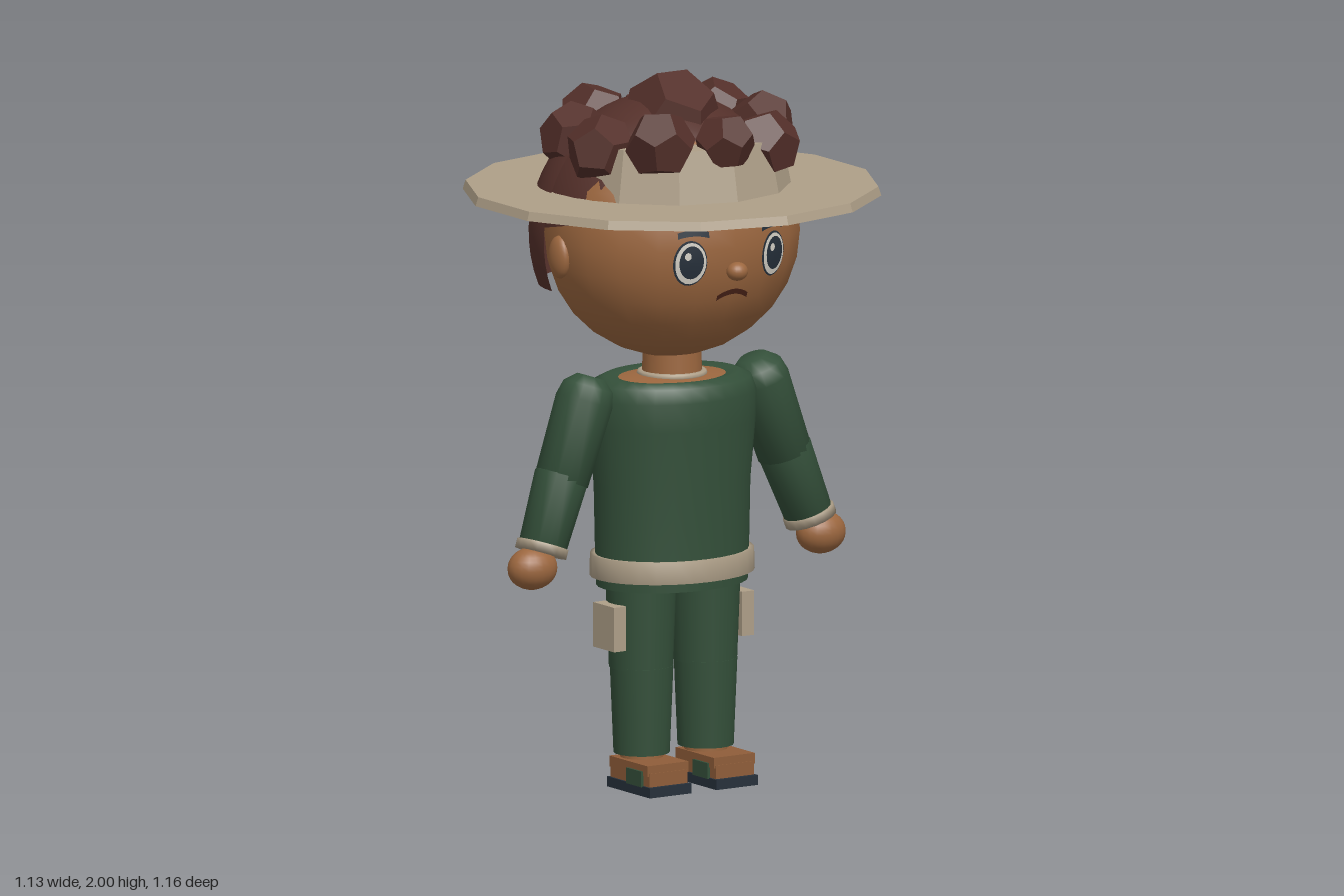
import * as THREE from 'three';

const mat = (name, color, side = THREE.FrontSide) => {
  const m = new THREE.MeshStandardMaterial({ color, side });
  m.name = name;
  return m;
};

export function createModel() {
  const model = new THREE.Group();
  const skin = mat('skin', 0x9c673f);
  const green = mat('green cloth', 0x34503a, THREE.DoubleSide);
  const beige = mat('beige', 0xae9f88, THREE.DoubleSide);
  const hair = mat('hair', 0x54302a, THREE.DoubleSide);
  const navy = mat('navy', 0x26303b);
  const tan = mat('shoe tan', 0x8f5d39);
  const white = mat('eye white', 0xd6d2c8);
  const lip = mat('lip', 0x4a2318);

  const add = (name, geo, material, x = 0, y = 0, z = 0, parent = model) => {
    const m = new THREE.Mesh(geo, material);
    m.name = name;
    m.position.set(x, y, z);
    parent.add(m);
    return m;
  };
  const ball = (name, material, p, r, parent = model) => {
    const m = add(name, new THREE.SphereGeometry(1, 20, 14), material, ...p, parent);
    m.scale.set(...r);
  };
  const faceted = (geo) => {
    const g = geo.toNonIndexed();
    g.computeVertexNormals();
    return g;
  };
  const lathe = (pts, seg) =>
    new THREE.LatheGeometry(pts.map(([r, y]) => new THREE.Vector2(r, y)), seg);
  // Tapered limb with a domed upper end, running from a to b
  const limb = (name, material, a, b, ra, rb, parent, dome = 0.02) => {
    const A = new THREE.Vector3(...a), B = new THREE.Vector3(...b);
    const L = A.distanceTo(B);
    const geo = lathe([[0, 0], [rb, 0], [ra, L - dome], [ra * 0.88, L - dome * 0.4], [ra * 0.5, L], [0, L]], 16);
    const m = add(name, geo, material, ...b, parent);
    m.quaternion.setFromUnitVectors(new THREE.Vector3(0, 1, 0), A.sub(B).normalize());
  };

  // Head
  const HY = 1.555, HR = [0.37, 0.35, 0.32];
  ball('head', skin, [0, HY, 0], HR);
  ball('nose', skin, [0, 1.49, 0.325], [0.031, 0.026, 0.028]);

  // Lay a flat geometry onto the face
  const onFace = (name, geo, material, x, y, lift) => {
    const p = geo.attributes.position;
    for (let i = 0; i < p.count; i++) {
      const px = p.getX(i) + x, py = p.getY(i) + y;
      const k = 1 - (px / HR[0]) ** 2 - ((py - HY) / HR[1]) ** 2;
      p.setXYZ(i, px, py, HR[2] * Math.sqrt(Math.max(k, 0)) + lift);
    }
    geo.computeVertexNormals();
    add(name, geo, material);
  };
  const oval = (rx, ry) => new THREE.RingGeometry(0.001, 1, 24, 3).scale(rx, ry, 1);
  const strip = (w, h, rule) => {
    const g = new THREE.PlaneGeometry(w, h, 10, 1);
    const p = g.attributes.position;
    for (let i = 0; i < p.count; i++) p.setY(i, p.getY(i) + rule(p.getX(i) / (w / 2)));
    return g;
  };
  for (const s of [1, -1]) {
    onFace('eyeRim', oval(0.046, 0.064), navy, s * 0.137, 1.522, 0.004);
    onFace('eyeWhite', oval(0.042, 0.059), white, s * 0.137, 1.522, 0.007);
    onFace('iris', oval(0.033, 0.047), navy, s * 0.137, 1.525, 0.01);
    onFace('eyeGlint', oval(0.009, 0.011), white, s * 0.137 - 0.012, 1.543, 0.013);
    onFace('eyebrow', strip(0.085, 0.017, (t) => 0.004 - 0.007 * t * t), navy, s * 0.13, 1.603, 0.009);
    ball('ear', skin, [s * 0.365, 1.515, -0.012], [0.025, 0.06, 0.042]);
  }
  onFace('mouth', strip(0.1, 0.015, (t) => 0.006 - 0.016 * t * t), lip, 0, 1.425, 0.008);

  // Hair: tilted cap, back shell and chunky curls
  const cap = add('hairCap', new THREE.SphereGeometry(1, 24, 12, 0, Math.PI * 2, 0, 1.45).scale(0.375, 0.385, 0.345),
    hair, 0, 1.55, -0.03);
  cap.rotation.x = -0.2;
  add('hairBack', new THREE.SphereGeometry(1, 24, 10, Math.PI, Math.PI, 0.9, 1.05).scale(0.382, 0.38, 0.305),
    hair, 0, 1.55, -0.065);
  add('topCurl', new THREE.DodecahedronGeometry(0.154), hair, 0, 1.856, 0).scale.x = 0.9;
  for (let i = 0; i < 9; i++) {
    const a = (i * Math.PI * 2) / 9;
    const c = add('curl', new THREE.DodecahedronGeometry(i === 0 ? 0.085 : 0.1), hair,
      Math.sin(a) * 0.27, 1.825 + 0.02 * Math.cos(i * 2.4), Math.cos(a) * 0.265);
    c.rotation.set(0.4 * Math.cos(a), a, -0.4 * Math.sin(a));
  }

  // Hat
  add('hatBrim', faceted(new THREE.CylinderGeometry(0.572, 0.58, 0.025, 14)), beige, 0, 1.673, 0);
  add('hatCrown', faceted(new THREE.CylinderGeometry(0.3, 0.33, 0.15, 12)), beige, 0, 1.755, 0);

  // Neck and collar
  add('neck', new THREE.CylinderGeometry(0.08, 0.085, 0.15, 18), skin, 0, 1.18, 0);
  add('collar', new THREE.TorusGeometry(0.088, 0.01, 8, 24).rotateX(Math.PI / 2), beige, 0, 1.155, 0);

  // Torso, oval in plan
  const torso = (name, pts, material, depth = 0.76) =>
    add(name, lathe(pts, 28).scale(1, 1, depth), material);
  torso('shirt', [[0.225, 0.568], [0.228, 0.66], [0.232, 0.85], [0.248, 1.02], [0.25, 1.1], [0.235, 1.14],
    [0.2, 1.155], [0.16, 1.148]], green);
  torso('neckline', [[0.165, 1.147], [0.08, 1.157], [0, 1.157]], skin);
  torso('hips', [[0, 0.572], [0.222, 0.572]], skin);
  torso('belt', [[0.226, 0.595], [0.243, 0.595], [0.241, 0.657], [0.226, 0.657]], beige, 0.79);

  for (const s of [1, -1]) {
    // Arm
    const arm = new THREE.Group();
    arm.name = s > 0 ? 'leftArm' : 'rightArm';
    model.add(arm);
    limb('upperSleeve', green, [s * 0.268, 1.17, 0.0], [s * 0.37, 0.89, 0.005], 0.082, 0.077, arm, 0.07);
    limb('lowerSleeve', green, [s * 0.362, 0.92, 0.003], [s * 0.443, 0.708, 0.018], 0.077, 0.068, arm);
    limb('cuff', beige, [s * 0.438, 0.724, 0.017], [s * 0.448, 0.696, 0.019], 0.074, 0.074, arm, 0.004);
    ball('hand', skin, [s * 0.478, 0.658, 0.023], [0.074, 0.06, 0.058], arm);

    // Leg
    const leg = new THREE.Group();
    leg.name = s > 0 ? 'leftLeg' : 'rightLeg';
    leg.position.x = s * 0.106;
    model.add(leg);
    const tube = (name, r1, r2, y1, y2, z, material) =>
      add(name, new THREE.CylinderGeometry(r1, r2, y1 - y2, 18), material, 0, (y1 + y2) / 2, z, leg);
    tube('thigh', 0.099, 0.089, 0.6, 0.34, 0.005, green);
    tube('shin', 0.088, 0.078, 0.345, 0.1, 0.008, green);
    tube('ankle', 0.06, 0.06, 0.13, 0.07, 0.008, skin);
    add('pocket', new THREE.BoxGeometry(0.04, 0.125, 0.105), beige, s * 0.106, 0.463, 0.008, leg);

    // Shoe
    const sole = [navy, navy, navy, tan, navy, navy];
    add('sole', new THREE.BoxGeometry(0.138, 0.028, 0.215), sole, s * 0.004, 0.014, 0.052, leg);
    add('shoe', new THREE.BoxGeometry(0.126, 0.04, 0.195), tan, s * 0.004, 0.046, 0.05, leg);
    add('shoeTop', new THREE.BoxGeometry(0.136, 0.03, 0.19), tan, s * 0.004, 0.073, 0.05, leg);
    for (const t of [1, -1])
      add('shoePatch', new THREE.BoxGeometry(0.008, 0.044, 0.075), green, s * 0.004 + t * 0.07, 0.048, 0.085, leg);
  }
  return model;
}
